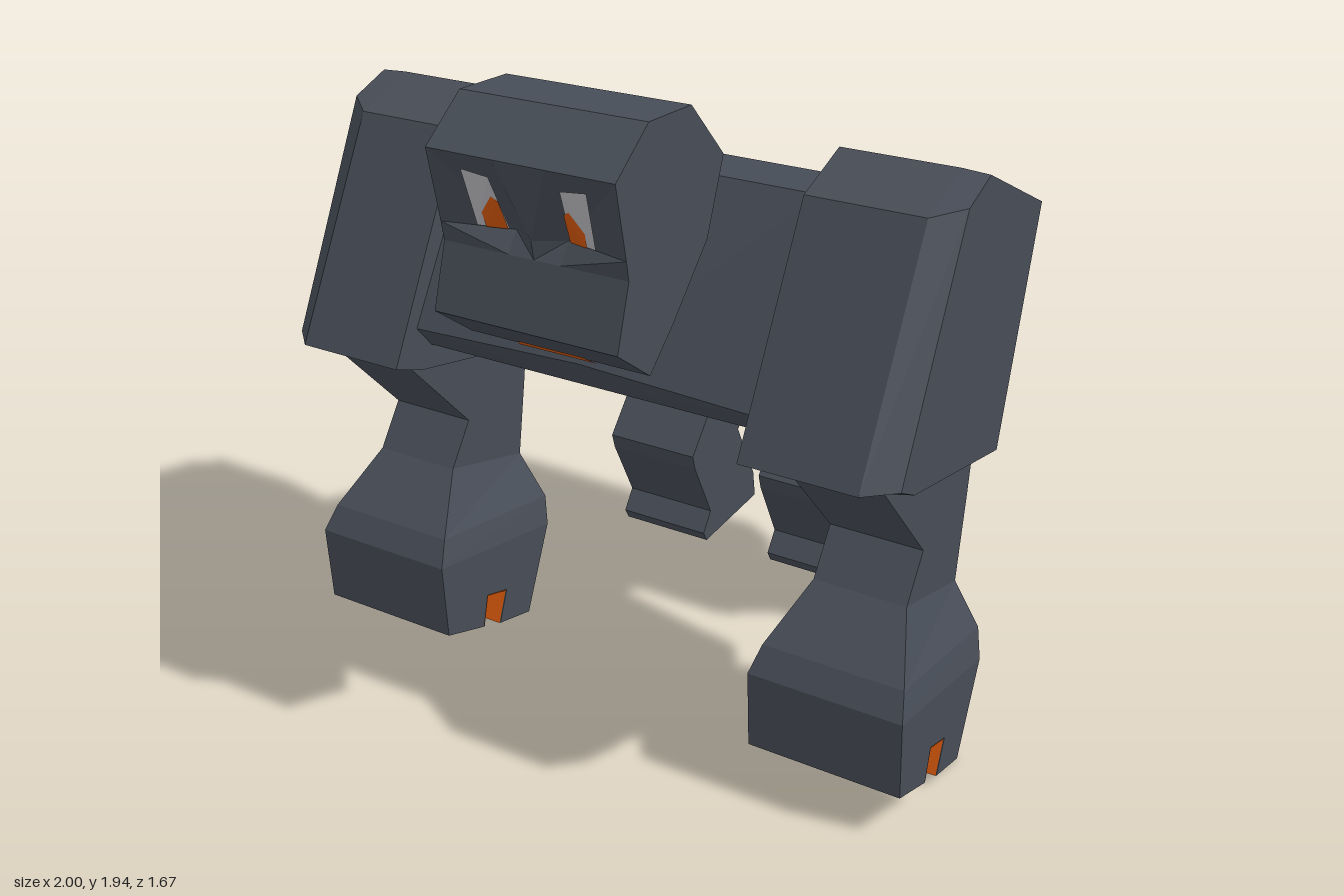
import * as THREE from 'three';

const body = new THREE.MeshStandardMaterial({ color: 0x474d57 });
body.name = 'slateStone';
const glow = new THREE.MeshStandardMaterial({ color: 0xd9590c, side: THREE.DoubleSide });
glow.name = 'emberOrange';
const pale = new THREE.MeshStandardMaterial({ color: 0xbdbdc2, side: THREE.DoubleSide });
pale.name = 'paleGrey';

// Flat-faced mesh from a plain list of triangle corners
function facets(name, points, material) {
  const geo = new THREE.BufferGeometry().setFromPoints(points);
  geo.computeVertexNormals();
  const mesh = new THREE.Mesh(geo, material);
  mesh.name = name;
  return mesh;
}

// Closed solid through a row of equal-length rings; flat is the cap projection
function solid(name, rings, flat = (p) => new THREE.Vector2(p.z, p.y)) {
  const tris = [];
  const n = rings[0].length;
  for (let r = 0; r < rings.length - 1; r++) {
    for (let i = 0; i < n; i++) {
      const j = (i + 1) % n;
      const a = rings[r][i], b = rings[r][j], c = rings[r + 1][j], d = rings[r + 1][i];
      if (a.x + d.x > 0) tris.push([a, b, d], [b, c, d]);
      else tris.push([a, b, c], [a, c, d]);
    }
  }
  const cap = (ring, reverse) => {
    const outline = ring.map(flat);
    if (THREE.ShapeUtils.isClockWise(outline)) reverse = !reverse;
    for (const [a, b, c] of THREE.ShapeUtils.triangulateShape(outline, [])) {
      tris.push(reverse ? [ring[c], ring[b], ring[a]] : [ring[a], ring[b], ring[c]]);
    }
  };
  cap(rings[0], true);
  cap(rings[rings.length - 1], false);
  // Turn the solid the right way out if its volume is negative
  let volume = 0;
  for (const [a, b, c] of tris) volume += a.dot(b.clone().cross(c));
  if (volume < 0) tris.forEach((t) => t.reverse());
  return facets(name, tris.flat(), body);
}

// Side profile of [z, y] points placed at x
const ring = (x, profile) => profile.map(([z, y]) => new THREE.Vector3(x, y, z));

// Thin four-cornered plate
function plate(name, [a, b, c, d], material) {
  return facets(name, [a, b, c, a, c, d], material);
}

function makeHead() {
  const head = new THREE.Group();
  head.name = 'head';
  // Eye sockets sink in beside the nose ridge
  const profile = (depth) => [
    [0.485, 1.93], [0.685, 1.935], [0.835, 1.82], [0.79 - depth, 1.61], [0.78, 1.555],
    [0.835, 1.375], [0.685, 1.265], [0.57, 1.37], [0.4, 1.55], [0.32, 1.76],
  ];
  const sections = [[-0.285, 0], [-0.08, 0.05], [0, 0], [0.08, 0.05], [0.285, 0]];
  head.add(solid('skull', sections.map(([x, d]) => ring(x, profile(d)))));

  // Eyes follow the slanted socket face
  const onSocket = (side, lift) => ([x, y]) => {
    const t = (1.82 - y) / 0.21, s = (x - 0.08) / 0.205;
    const z = 0.835 - 0.095 * t + 0.05 * Math.max(0, t + s - 1);
    return new THREE.Vector3(side * x, y, z + lift);
  };
  const white = [[0.108, 1.765], [0.19, 1.775], [0.182, 1.612], [0.095, 1.612]];
  const iris = [[0.1, 1.695], [0.163, 1.735], [0.155, 1.612], [0.095, 1.612]];
  for (const side of [1, -1]) {
    head.add(plate('eyeWhite', white.map(onSocket(side, 0.004)), pale));
    head.add(plate('iris', iris.map(onSocket(side, 0.009)), glow));
  }

  // Mouth under the jaw
  const mouth = [[-0.125, 1.262, 0.687], [0.125, 1.262, 0.687], [0.1, 1.29, 0.725], [-0.1, 1.29, 0.725]];
  head.add(plate('mouth', mouth.map((p) => new THREE.Vector3(...p)), glow));
  return head;
}

function makeTorso() {
  const torso = new THREE.Group();
  torso.name = 'torso';
  const chest = [[0.21, 1.72], [0.3, 1.69], [0.6, 1.18], [0.54, 1.11], [-0.05, 1.12], [-0.15, 1.55]];
  const chestMid = chest.map(([z, y], i) => [z, i === 2 ? 1.2 : y]);
  torso.add(solid('chest', [ring(-0.56, chest), ring(0, chestMid), ring(0.56, chest)]));

  // Waist tapers backwards and is creased along the middle
  const waist = (w, z, top, low, mid) => [
    [-w, top, z], [0, top + 0.02, z], [w, top, z], [w, low, z], [0, mid, z], [-w, low, z],
  ].map((p) => new THREE.Vector3(...p));
  torso.add(solid('waist', [waist(0.505, 0.1, 1.6, 1.2, 1.18), waist(0.465, -0.6, 1.155, 0.73, 0.7)],
    (p) => new THREE.Vector2(p.x, p.y)));

  const hips = [[-0.595, 1.155], [-0.67, 1.16], [-0.83, 1.045], [-0.83, 0.82],
    [-0.745, 0.67], [-0.715, 0.655], [-0.345, 0.75], [-0.325, 0.94]];
  const hipsMid = [[-0.555, 1.18], [-0.66, 1.165], [-0.815, 1.045], [-0.82, 0.82],
    [-0.745, 0.66], [-0.715, 0.65], [-0.345, 0.7], [-0.325, 0.885]];
  torso.add(solid('hips', [ring(-0.485, hips), ring(0, hipsMid), ring(0.485, hips)]));
  return torso;
}

function makeArm(side) {
  const arm = new THREE.Group();
  arm.name = side > 0 ? 'leftArm' : 'rightArm';

  // Shoulder block, chamfered on its outer side
  const full = [[0.18, 1.785], [0.375, 1.71], [0.7, 1.09], [0.58, 1.045], [-0.11, 0.9], [-0.28, 1.57]];
  const outer = [[0.18, 1.78], [0.31, 1.73], [0.625, 1.09], [0.54, 1.045], [-0.03, 0.925], [-0.22, 1.595]];
  arm.add(solid('shoulder', [ring(side * 0.55, full), ring(side * 0.89, full), ring(side * 0.97, outer)]));

  // Forearm levels: inner x, outer x, front [z, y], back [z, y]
  const levels = [
    [0.625, 0.905, 0.6, 1.07, -0.03, 1.0],
    [0.625, 0.905, 0.295, 0.745, 0, 0.775],
    [0.625, 0.905, 0.385, 0.615, 0.04, 0.52],
    [0.55, 0.975, 0.535, 0.46, 0.01, 0.37],
    [0.53, 0.995, 0.58, 0.385, 0.03, 0.28],
  ].map(([x0, x1, zf, yf, zb, yb]) => [
    [x0, yf, zf], [x1, yf, zf], [x1, yb, zb], [x0, yb, zb],
  ].map(([x, y, z]) => new THREE.Vector3(side * x, y, z)));
  arm.add(solid('forearm', levels, (p) => new THREE.Vector2(p.x, p.z)));

  // Fist with a slot across its underside
  const fist = [[0.58, 0.385], [0.565, 0.14], [0.39, 0.077], [0.365, 0.18],
    [0.265, 0.15], [0.305, 0.045], [0.15, 0.005], [0.03, 0.28]];
  arm.add(solid('fist', [ring(side * 0.53, fist), ring(side * 0.995, fist)]));
  const slot = [
    [[0.386, 0.077], [0.361, 0.178]],
    [[0.364, 0.176], [0.266, 0.146]],
    [[0.269, 0.15], [0.309, 0.046]],
  ];
  for (const wall of slot) {
    const a = ring(side * 0.531, wall), b = ring(side * 0.994, wall);
    arm.add(plate('slotLining', [a[0], a[1], b[1], b[0]], glow));
  }
  return arm;
}

function makeLeg(side) {
  const leg = [[-0.4, 0.78], [-0.37, 0.7], [-0.22, 0.525], [-0.235, 0.475], [-0.34, 0.27], [-0.295, 0.205],
    [-0.315, 0.17], [-0.65, 0.19], [-0.635, 0.285], [-0.52, 0.5], [-0.67, 0.65], [-0.67, 0.78]];
  return solid(side > 0 ? 'leftLeg' : 'rightLeg', [ring(side * 0.122, leg), ring(side * 0.435, leg)]);
}

export function createModel() {
  const model = new THREE.Group();
  model.name = 'stoneGolem';
  const figure = new THREE.Group();
  figure.name = 'figure';
  figure.add(makeHead(), makeTorso());
  for (const side of [1, -1]) figure.add(makeArm(side), makeLeg(side));
  // Slight lean and turn of the whole stance
  figure.rotation.set(0, 0.01, -0.006);
  figure.position.y = 0.005;
  model.add(figure);
  return model;
}
